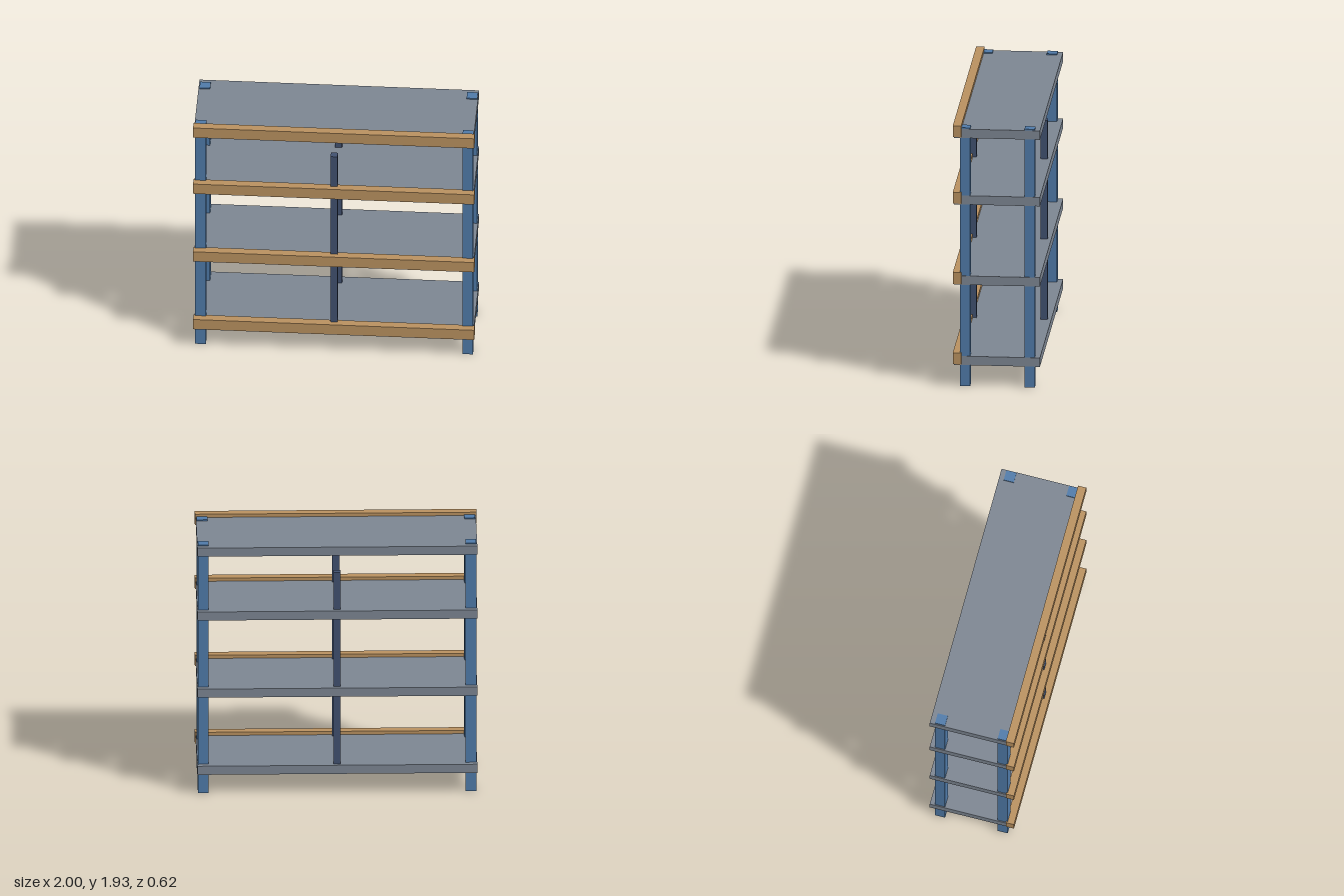
import * as THREE from 'three';

function material(name, color) {
  const m = new THREE.MeshStandardMaterial({ color });
  m.name = name;
  return m;
}

export function createModel() {
  const group = new THREE.Group();
  group.name = 'shelvingUnit';
  const wood = material('wood', 0xb8905f);
  const blue = material('blue', 0x4f7aa8);
  const grey = material('grey', 0x7c8591);
  const navy = material('navy', 0x40506f);

  // Box given by its min and max corners
  function box(name, mat, [x0, y0, z0], [x1, y1, z1]) {
    const mesh = new THREE.Mesh(new THREE.BoxGeometry(x1 - x0, y1 - y0, z1 - z0), mat);
    mesh.position.set((x0 + x1) / 2, (y0 + y1) / 2, (z0 + z1) / 2);
    mesh.name = name;
    group.add(mesh);
  }

  // Shelf boards, each with a wooden lip along the front
  for (const y of [0.156, 0.75, 1.344, 1.836]) {
    box('shelf', grey, [-0.995, y, -0.31], [0.993, y + 0.066, 0.302]);
    box('frontLip', wood, [-1, y + 0.007, 0.25], [1, y + 0.091, 0.31]);
  }

  // Corner posts, just breaking through the top shelf
  for (const x of [-0.95, 0.95]) {
    for (const z of [-0.236, 0.224]) {
      box('cornerPost', blue, [x - 0.038, 0, z - 0.037], [x + 0.038, 1.911, z + 0.037]);
    }
  }

  // Thin middle posts standing on the bottom shelf
  for (const z of [-0.259, 0.248]) {
    box('middlePost', navy, [-0.025, 0.2, z - 0.025], [0.025, 1.695, z + 0.025]);
  }

  return group;
}
